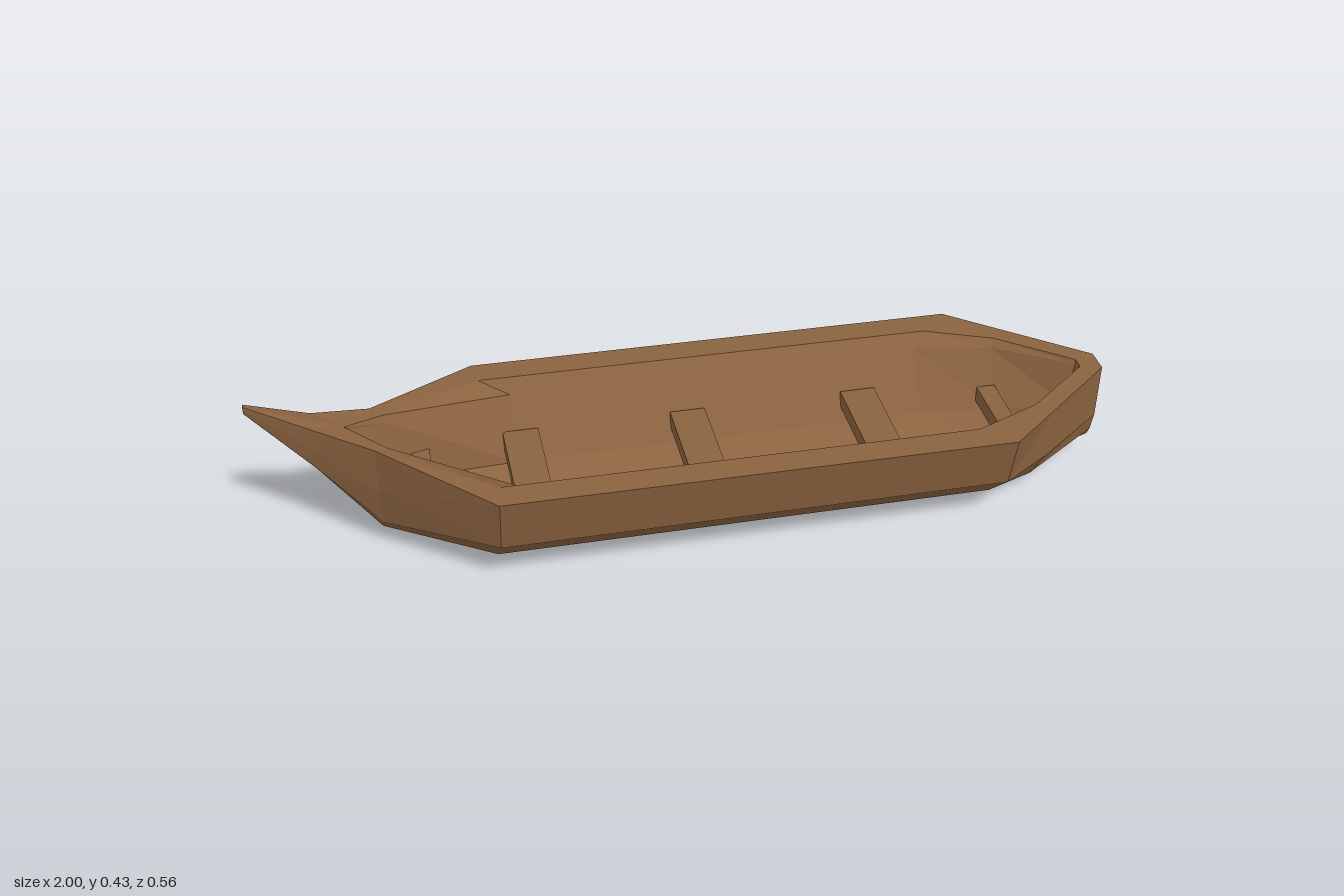
import * as THREE from 'three';

const wood = new THREE.MeshStandardMaterial({ color: 0x8b6340, flatShading: true });

// Each rail runs bow (-x) to stern (+x) on the +z half; columns match between rails.
const keel = [[-1, .41, 0], [-.86, .24, 0], [-.73, .055, 0], [-.48, 0, 0], [.7, 0, 0], [.82, 0, 0], [1, .065, 0], [1, .065, 0]];
const bilge = [[-1, .413, .002], [-.86, .25, .012], [-.73, .09, .03], [-.48, .04, .14], [.7, .04, .14], [.82, .04, .095], [1, .09, .014], [1, .09, 0]];
const side = [[-1, .42, .004], [-.86, .31, .025], [-.73, .2, .06], [-.48, .14, .243], [.7, .14, .243], [.82, .14, .165], [1, .14, .027], [1, .14, 0]];
const gunwale = [[-1, .432, .005], [-.86, .37, .033], [-.73, .33, .083], [-.48, .285, .28], [.7, .28, .28], [.82, .28, .18], [1, .28, .03], [1, .28, 0]];
const rimEdge = [[-1, .432, 0], [-.79, .345, 0], [-.7, .32, .065], [-.47, .285, .213], [.63, .28, .213], [.79, .28, .145], [.95, .28, .015], [.95, .28, 0]];
const lip = [[-1, .432, 0], [-.79, .335, 0], [-.69, .3, .06], [-.4, .25, .19], [.6, .25, .19], [.78, .26, .135], [.95, .27, .012], [.95, .27, 0]];
const floorEdge = [[-.73, .2, 0], [-.73, .2, 0], [-.64, .15, .045], [-.4, .11, .11], [.6, .11, .11], [.78, .12, .07], [.93, .16, .005], [.93, .16, 0]];
const floorKeel = [[-.71, .14, 0], [-.71, .14, 0], [-.63, .09, 0], [-.42, .05, 0], [.62, .05, 0], [.8, .06, 0], [.92, .12, 0], [.92, .12, 0]];

// Skin neighbouring rails and mirror the result across z = 0
function loft(name, rails, start = 0) {
  const pos = [];
  const same = (p, q) => p.every((v, i) => v === q[i]);
  const tri = (a, b, c) => {
    if (same(a, b) || same(b, c) || same(a, c)) return;
    pos.push(...a, ...b, ...c);
    for (const [x, y, z] of [a, c, b]) pos.push(x, y, -z);
  };
  for (let i = 0; i < rails.length - 1; i++) {
    const lo = rails[i], hi = rails[i + 1];
    for (let j = start; j < lo.length - 1; j++) {
      tri(lo[j], lo[j + 1], hi[j + 1]);
      tri(lo[j], hi[j + 1], hi[j]);
    }
  }
  const geometry = new THREE.BufferGeometry();
  geometry.setAttribute('position', new THREE.Float32BufferAttribute(pos, 3));
  geometry.computeVertexNormals();
  const mesh = new THREE.Mesh(geometry, wood);
  mesh.name = name;
  return mesh;
}

export function createModel() {
  const boat = new THREE.Group();
  boat.name = 'rowingBoat';

  boat.add(loft('outerHull', [keel, bilge, side, gunwale]));
  boat.add(loft('rim', [gunwale, rimEdge]));
  boat.add(loft('innerHull', [rimEdge, lip, floorEdge, floorKeel], 1));

  // Benches: x, top height, width along x, length across
  const benches = [
    [-.63, .21, .05, .16],
    [-.385, .18, .085, .28],
    [.02, .18, .085, .28],
    [.445, .18, .085, .28],
    [.758, .18, .045, .18],
  ];
  for (const [x, top, width, length] of benches) {
    const bench = new THREE.Mesh(new THREE.BoxGeometry(width, .04, length), wood);
    bench.position.set(x, top - .02, 0);
    bench.name = 'bench';
    boat.add(bench);
  }
  return boat;
}
